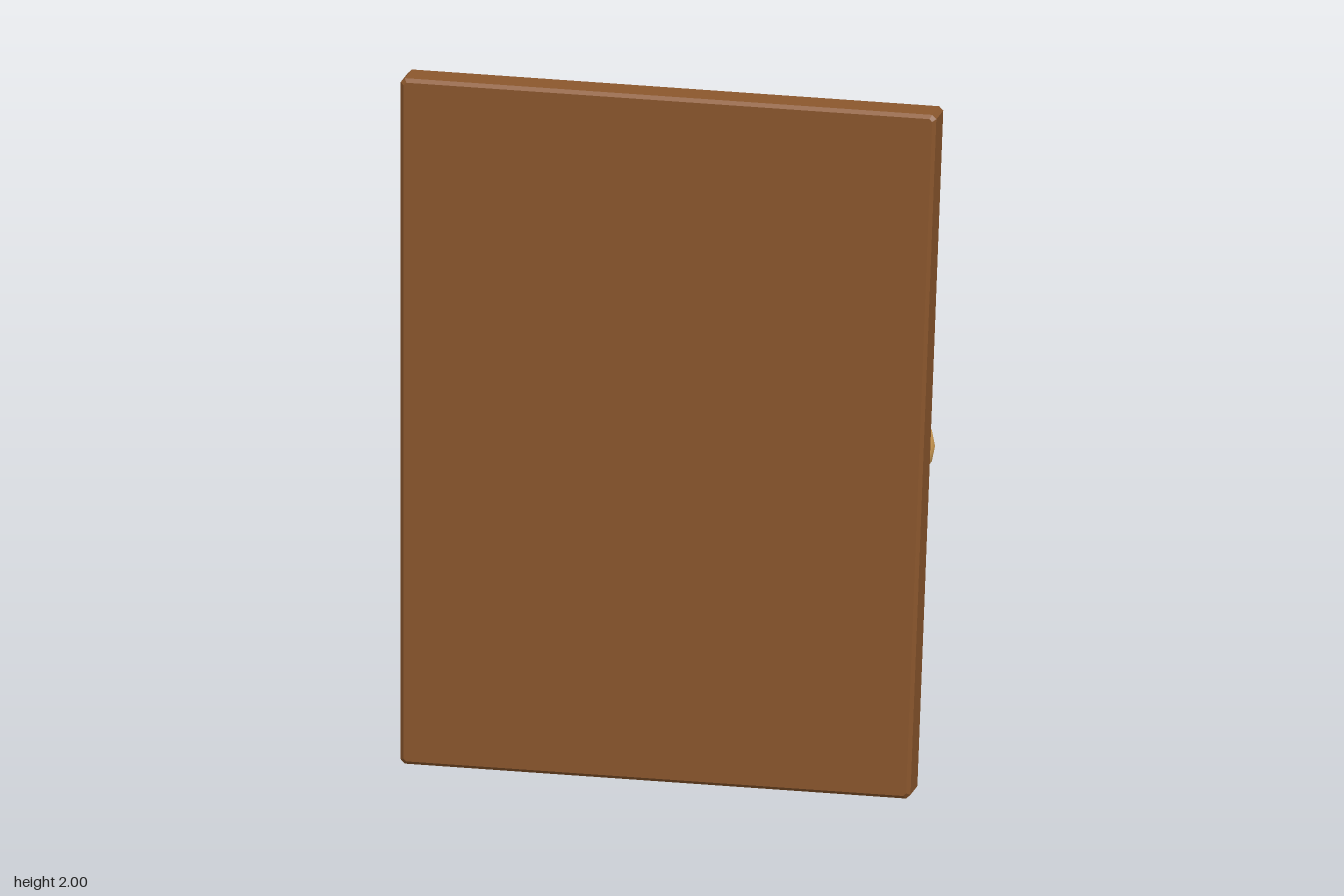
import * as THREE from 'three';

// Four-sided outline (counter-clockwise from the front) with clipped corners.
// corners: bottom right, top right, top left, bottom left; inset shrinks it.
function outline(corners, z, inset, clip) {
  const sx = [-1, -1, 1, 1], sy = [1, -1, -1, 1];
  const pts = corners.map(([x, y], i) => new THREE.Vector3(x + sx[i] * inset, y + sy[i] * inset, z));
  const loop = [];
  pts.forEach((p, i) => {
    for (const q of [pts[(i + 3) % 4], pts[(i + 1) % 4]]) {
      loop.push(p.clone().add(q.clone().sub(p).setLength(clip)));
    }
  });
  return loop;
}

// Joins the loops from front to back and caps both ends, with flat normals.
function loft(loops) {
  const pos = [];
  const tri = (...v) => v.forEach((p) => pos.push(p.x, p.y, p.z));
  const n = loops[0].length;
  for (let k = 0; k < loops.length - 1; k++) {
    const a = loops[k], b = loops[k + 1];
    for (let i = 0; i < n; i++) {
      const j = (i + 1) % n;
      tri(a[i], b[i], b[j]);
      tri(a[i], b[j], a[j]);
    }
  }
  const first = loops[0], last = loops[loops.length - 1];
  for (let i = 1; i < n - 1; i++) {
    tri(first[0], first[i], first[i + 1]);
    tri(last[0], last[i + 1], last[i]);
  }
  const geo = new THREE.BufferGeometry();
  geo.setAttribute('position', new THREE.Float32BufferAttribute(pos, 3));
  geo.computeVertexNormals();
  return geo;
}

export function createModel() {
  const wood = new THREE.MeshStandardMaterial({ color: 0x8b572d });
  wood.name = 'brown wood';
  const brass = new THREE.MeshStandardMaterial({ color: 0xd4a056 });
  brass.name = 'pale brass';
  const model = new THREE.Group();
  model.name = 'crookedDoor';

  // Crooked slab with bevelled edges; a groove frames the raised back panel
  const slab = [[0.692, 0], [0.767, 2], [-0.767, 2], [-0.767, 0]];
  const panel = [[0.456, 0.09], [0.575, 1.88], [-0.665, 1.79], [-0.588, 0.09]];
  const front = 0.117, back = 0.013, bevel = 0.01;
  const door = new THREE.Mesh(loft([
    outline(slab, front, bevel, 0.008),
    outline(slab, front - bevel, 0, 0.012),
    outline(slab, back + bevel, 0, 0.012),
    outline(slab, back, bevel, 0.008),
    outline(panel, back, 0, 0.015),
    outline(panel, back + 0.022, 0.012, 0.015),
    outline(panel, back + 0.022, 0.036, 0.015),
    outline(panel, back - 0.004, 0.06, 0.015),
  ]), wood);
  door.name = 'door';
  model.add(door);

  // Round knob on a short stem, pointing backwards
  const profile = [
    [0.057, -0.01], [0.056, 0.022], [0.064, 0.032], [0.09, 0.045], [0.106, 0.059],
    [0.113, 0.074], [0.108, 0.092], [0.093, 0.109], [0.068, 0.121], [0.036, 0.128], [0, 0.13],
  ].map(([r, h]) => new THREE.Vector2(r, h));
  const knob = new THREE.Mesh(new THREE.LatheGeometry(profile, 16), brass);
  knob.name = 'knob';
  knob.rotation.x = -Math.PI / 2;
  knob.position.set(0.61, 0.98, back);
  model.add(knob);

  return model;
}
